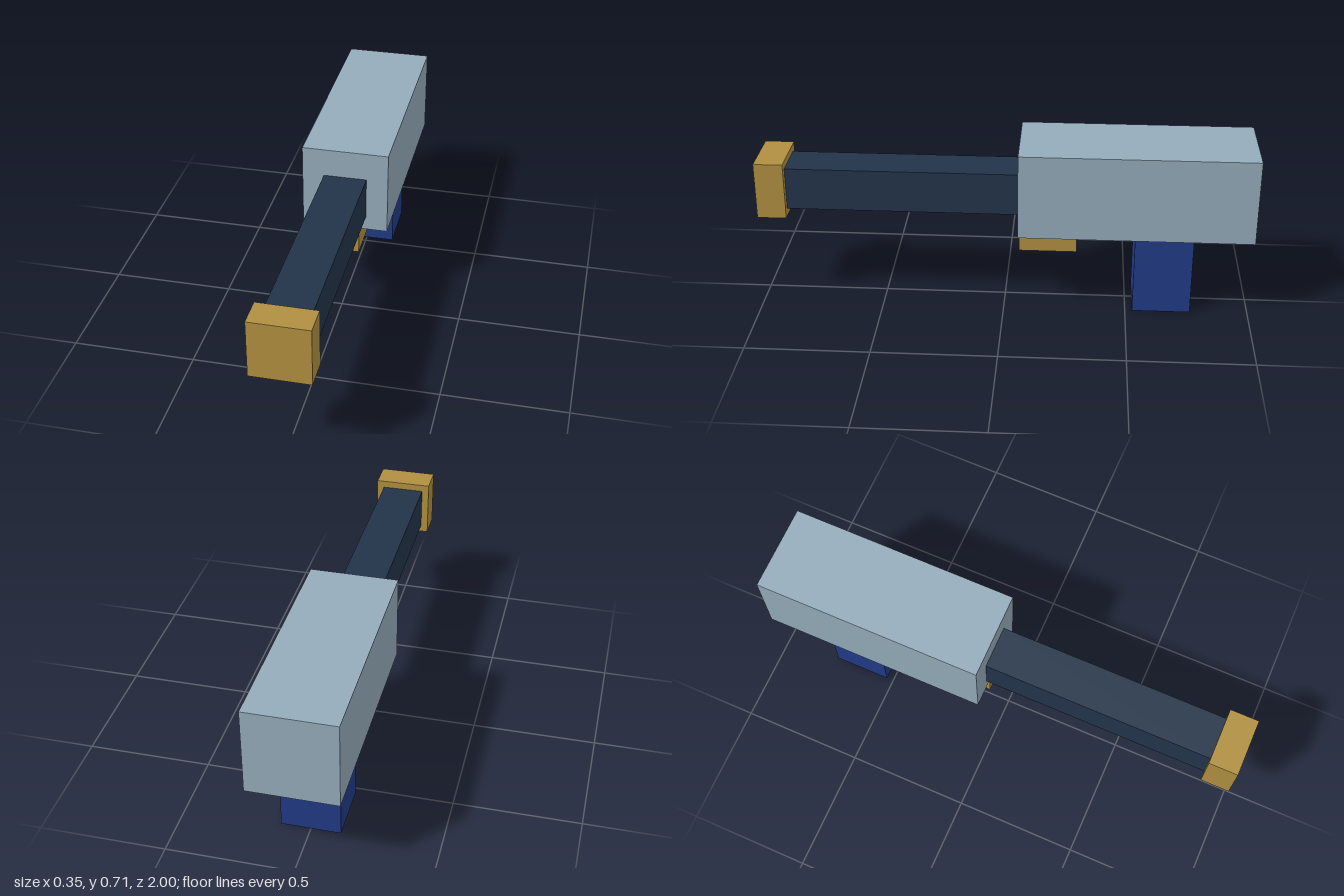
import * as THREE from 'three';

export function createModel() {
  const model = new THREE.Group();
  const material = (name, color) => {
    const m = new THREE.MeshStandardMaterial({ color });
    m.name = name;
    return m;
  };
  const steel = material('paleSteel', 0x94abba);
  const navy = material('darkNavy', 0x22344a);
  const blue = material('gripBlue', 0x213a86);
  const brass = material('brass', 0xb08f40);

  // Box centred on x = 0, spanning y0..y1 and z0..z1
  const block = (name, mat, width, y0, y1, z0, z1) => {
    const mesh = new THREE.Mesh(new THREE.BoxGeometry(width, y1 - y0, z1 - z0), mat);
    mesh.name = name;
    mesh.position.set(0, (y0 + y1) / 2, (z0 + z1) / 2);
    model.add(mesh);
  };

  block('body', steel, 0.353, 0.353, 0.706, -1, -0.059);
  block('barrel', navy, 0.176, 0.412, 0.588, -0.059, 0.882);
  block('muzzle', brass, 0.235, 0.382, 0.618, 0.882, 1);
  block('grip', blue, 0.235, 0, 0.353, -0.765, -0.529);
  block('trigger', brass, 0.118, 0.235, 0.353, -0.294, -0.059);

  return model;
}
